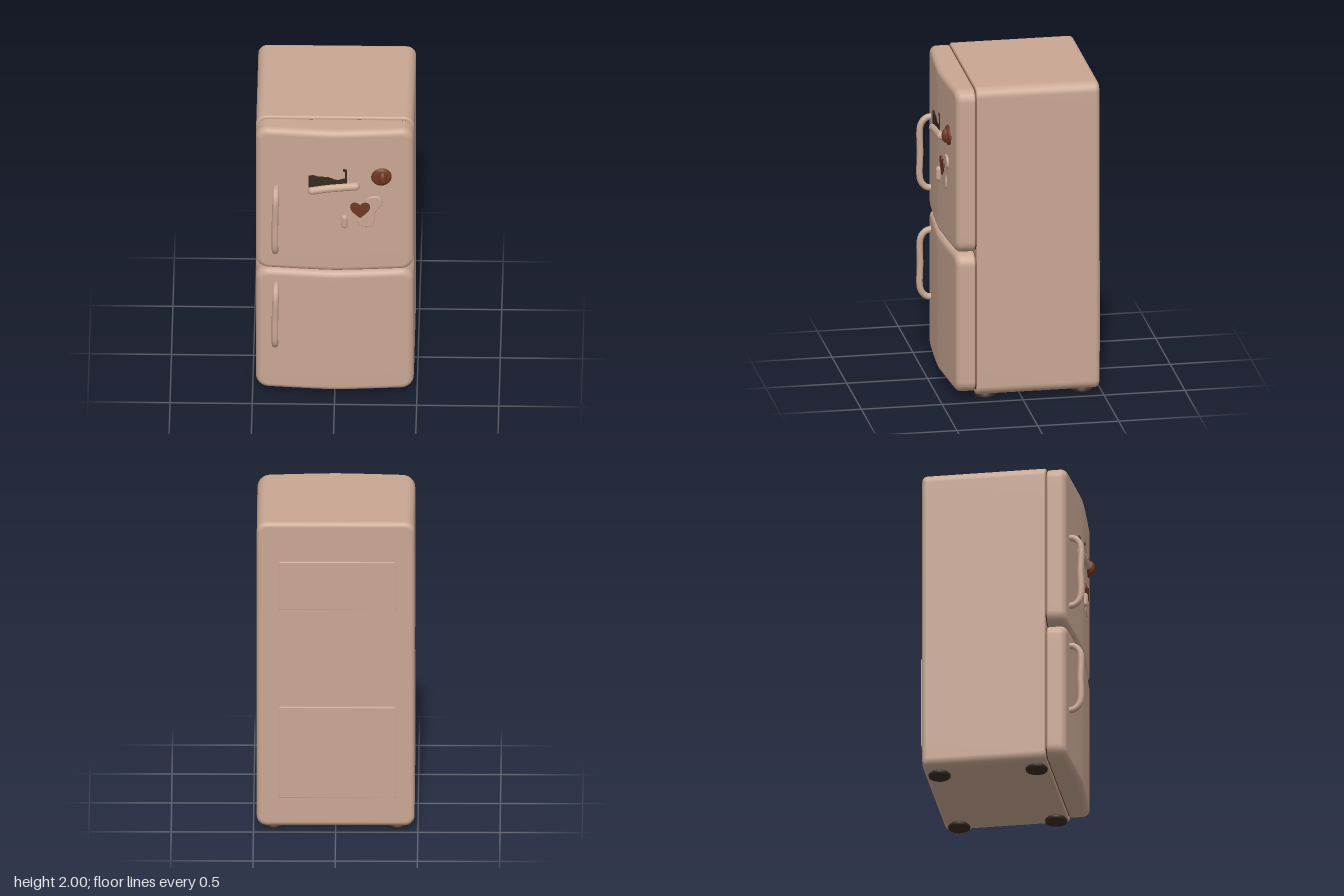
import * as THREE from 'three';
import { mergeVertices } from 'three/addons/utils/BufferGeometryUtils.js';

const mat = (name, color) => Object.assign(new THREE.MeshStandardMaterial({ color }), { name });

// Outline of a rounded rectangle, counter-clockwise, with subdivided edges
function roundedRing(w, h, r) {
  const corners = [[1, 1], [-1, 1], [-1, -1], [1, -1]].map(([sx, sy], c) =>
    Array.from({ length: 8 }, (_, k) => {
      const a = (c + k / 7) * Math.PI / 2;
      return new THREE.Vector2(sx * (w / 2 - r) + r * Math.cos(a), sy * (h / 2 - r) + r * Math.sin(a));
    }));
  const ring = [];
  corners.forEach((pts, c) => {
    ring.push(...pts);
    const next = corners[(c + 1) % 4][0];
    for (let k = 1; k < 12; k++) ring.push(pts[7].clone().lerp(next, k / 12));
  });
  return ring;
}

// Soft-edged slab lofted along z; its front may bow out towards x = 0
function slab({ x = [-0.48, 0.48], y, z, corner, back, front, bow = 0 }) {
  const w = x[1] - x[0], h = y[1] - y[0], cx = (x[0] + x[1]) / 2, cy = (y[0] + y[1]) / 2;
  const fills = [0, 0.25, 0.5, 0.75], rings = [];
  fills.forEach(s => rings.push([back, z[0], s, 0]));
  for (let k = 0; k <= 6; k++) {
    const a = k / 6 * Math.PI / 2;
    rings.push([back * (1 - Math.sin(a)), z[0] + back * (1 - Math.cos(a)), 1, 0]);
  }
  for (let k = 0; k <= 6; k++) {
    const a = k / 6 * Math.PI / 2;
    rings.push([front * (1 - Math.cos(a)), z[1] - front * (1 - Math.sin(a)), 1, 1]);
  }
  fills.reverse().forEach(s => rings.push([front, z[1], s, 1]));

  const pos = [], idx = [];
  let n = 0;
  for (const [inset, pz, s, isFront] of rings) {
    const ring = roundedRing(w - 2 * inset, h - 2 * inset, Math.max(corner - inset, 0.004));
    n = ring.length;
    for (const p of ring) {
      const bulge = isFront * bow * (1 - Math.pow(Math.min(1, Math.abs(p.x * s) / (w / 2)), 1.25));
      pos.push(cx + p.x * s, cy + p.y * s, pz + bulge);
    }
  }
  for (let i = 0; i < rings.length - 1; i++) {
    for (let j = 0; j < n; j++) {
      const a = i * n + j, b = i * n + (j + 1) % n;
      idx.push(a, b, b + n, a, b + n, a + n);
    }
  }
  const g = new THREE.BufferGeometry();
  g.setAttribute('position', new THREE.Float32BufferAttribute(pos, 3));
  g.setIndex(idx);
  const merged = mergeVertices(g, 1e-5);
  merged.computeVertexNormals();
  return merged;
}

// Tube with ball ends
function rod(points, r) {
  const pts = points.map(p => new THREE.Vector3(...p));
  const group = new THREE.Group();
  const geos = [new THREE.TubeGeometry(new THREE.CatmullRomCurve3(pts, false, 'centripetal'), 40, r, 14)];
  for (const p of [pts[0], pts[pts.length - 1]]) {
    geos.push(new THREE.SphereGeometry(r, 14, 10).translate(p.x, p.y, p.z));
  }
  return { group, geos };
}

export function createModel() {
  const model = new THREE.Group();
  model.name = 'refrigerator';
  const enamel = mat('pinkish beige enamel', 0xc9a793);
  const brown = mat('reddish brown', 0x6e3822);
  const dark = mat('dark brown rubber', 0x392a20);

  const add = (name, geometry, material, parent = model) => {
    const mesh = new THREE.Mesh(geometry, material);
    mesh.name = name;
    parent.add(mesh);
    return mesh;
  };
  const addRod = (name, points, r) => {
    const { group, geos } = rod(points, r);
    group.name = name;
    geos.forEach((g, i) => add(i ? name + 'End' : name + 'Bar', g, enamel, group));
    model.add(group);
    return group;
  };

  // Cabinet
  add('cabinet', slab({ y: [0.03, 2], z: [-0.48, 0.283], corner: 0.06, back: 0.03, front: 0.012 }), enamel);

  // Doors, their seals and handles
  const doors = [
    { name: 'upper', y: [0.946, 1.992], handle: [1.1, 1.56] },
    { name: 'lower', y: [0.05, 0.94], handle: [0.4, 0.835] },
  ];
  for (const { name, y, handle: [lo, hi] } of doors) {
    add(name + 'Door', slab({ y, z: [0.289, 0.405], corner: 0.075, back: 0.012, front: 0.04, bow: 0.034 }), enamel);
    add(name + 'DoorSeal', slab({
      x: [-0.472, 0.472], y: [y[0] + 0.01, y[1] - 0.01], z: [0.272, 0.3], corner: 0.065, back: 0.004, front: 0.004,
    }), brown);
    addRod(name + 'Handle', [
      [-0.362, lo, 0.41], [-0.362, lo + 0.008, 0.445], [-0.362, lo + 0.05, 0.478],
      [-0.362, (lo + hi) / 2, 0.481],
      [-0.358, hi - 0.05, 0.478], [-0.358, hi - 0.008, 0.445], [-0.358, hi, 0.41],
    ], 0.02);
  }

  // Raised panels on the back
  const panelX = [-0.365, 0.345];
  add('upperBackPanel', slab({ x: panelX, y: [1.44, 1.75], z: [-0.495, -0.47], corner: 0.008, back: 0.004, front: 0.004 }), enamel);
  add('lowerBackPanel', slab({ x: panelX, y: [0.225, 0.81], z: [-0.503, -0.47], corner: 0.008, back: 0.004, front: 0.004 }), enamel);

  // Feet
  const footProfile = [[0, 0], [0.055, 0], [0.066, 0.006], [0.068, 0.02], [0.058, 0.03], [0.045, 0.045], [0, 0.045]]
    .map(p => new THREE.Vector2(...p));
  for (const x of [-0.375, 0.375]) {
    for (const z of [0.213, -0.385]) {
      add('foot', new THREE.LatheGeometry(footProfile, 28), dark).position.set(x, 0, z);
    }
  }

  // Bar magnet and small upright magnet
  addRod('barMagnet', [[-0.138, 1.562, 0.441], [-0.05, 1.578, 0.441], [0.05, 1.59, 0.441], [0.128, 1.598, 0.441]], 0.026);
  addRod('smallMagnet', [[0.06, 1.307, 0.44], [0.06, 1.36, 0.44]], 0.02);

  // Thin cut-outs held on the upper door
  const plate = (shape, depth) => new THREE.ExtrudeGeometry(shape, { depth, bevelEnabled: false, curveSegments: 16 });
  const paper = new THREE.Shape([
    [-0.158, 1.585], [0, 1.6], [0.075, 1.61], [0.075, 1.718], [0.05, 1.722], [0.05, 1.708], [0.064, 1.7],
    [0.062, 1.652], [0.02, 1.64], [0, 1.645], [-0.04, 1.662], [-0.1, 1.662], [-0.13, 1.672], [-0.158, 1.668],
  ].map(p => new THREE.Vector2(...p)));
  add('darkCutout', plate(paper, 0.009), dark).position.z = 0.433;

  const heart = new THREE.Shape();
  heart.moveTo(0.155, 1.358);
  heart.bezierCurveTo(0.18, 1.385, 0.215, 1.405, 0.215, 1.44);
  heart.bezierCurveTo(0.215, 1.478, 0.168, 1.478, 0.155, 1.446);
  heart.bezierCurveTo(0.142, 1.478, 0.095, 1.478, 0.095, 1.44);
  heart.bezierCurveTo(0.095, 1.405, 0.13, 1.385, 0.155, 1.358);
  add('heartMagnet', plate(heart, 0.009), brown).position.z = 0.434;

  // Waisted magnet beside the heart
  const waisted = new THREE.Shape();
  waisted.moveTo(0.148, 1.305);
  waisted.splineThru([
    [0.185, 1.292], [0.225, 1.3], [0.235, 1.33], [0.238, 1.38], [0.26, 1.425], [0.282, 1.46], [0.275, 1.495],
    [0.24, 1.508], [0.205, 1.495], [0.188, 1.46], [0.182, 1.415], [0.165, 1.37], [0.145, 1.335], [0.148, 1.305],
  ].map(p => new THREE.Vector2(...p)));
  add('waistedMagnet', new THREE.ExtrudeGeometry(waisted, {
    depth: 0.012, bevelThickness: 0.008, bevelSize: 0.007, bevelSegments: 4, steps: 1, curveSegments: 48,
  }), enamel).position.z = 0.415;

  // Round magnet with a raised oval knob
  const disc = [[0, 0.032], [0.045, 0.03], [0.058, 0.024], [0.064, 0.012], [0.064, 0]].reverse().map(p => new THREE.Vector2(...p));
  add('roundMagnet', new THREE.LatheGeometry(disc, 36).rotateX(Math.PI / 2), brown).position.set(0.283, 1.655, 0.408);
  add('roundMagnetKnob', new THREE.SphereGeometry(1, 24, 16).scale(0.026, 0.046, 0.028), brown).position.set(0.292, 1.655, 0.438);

  return model;
}
